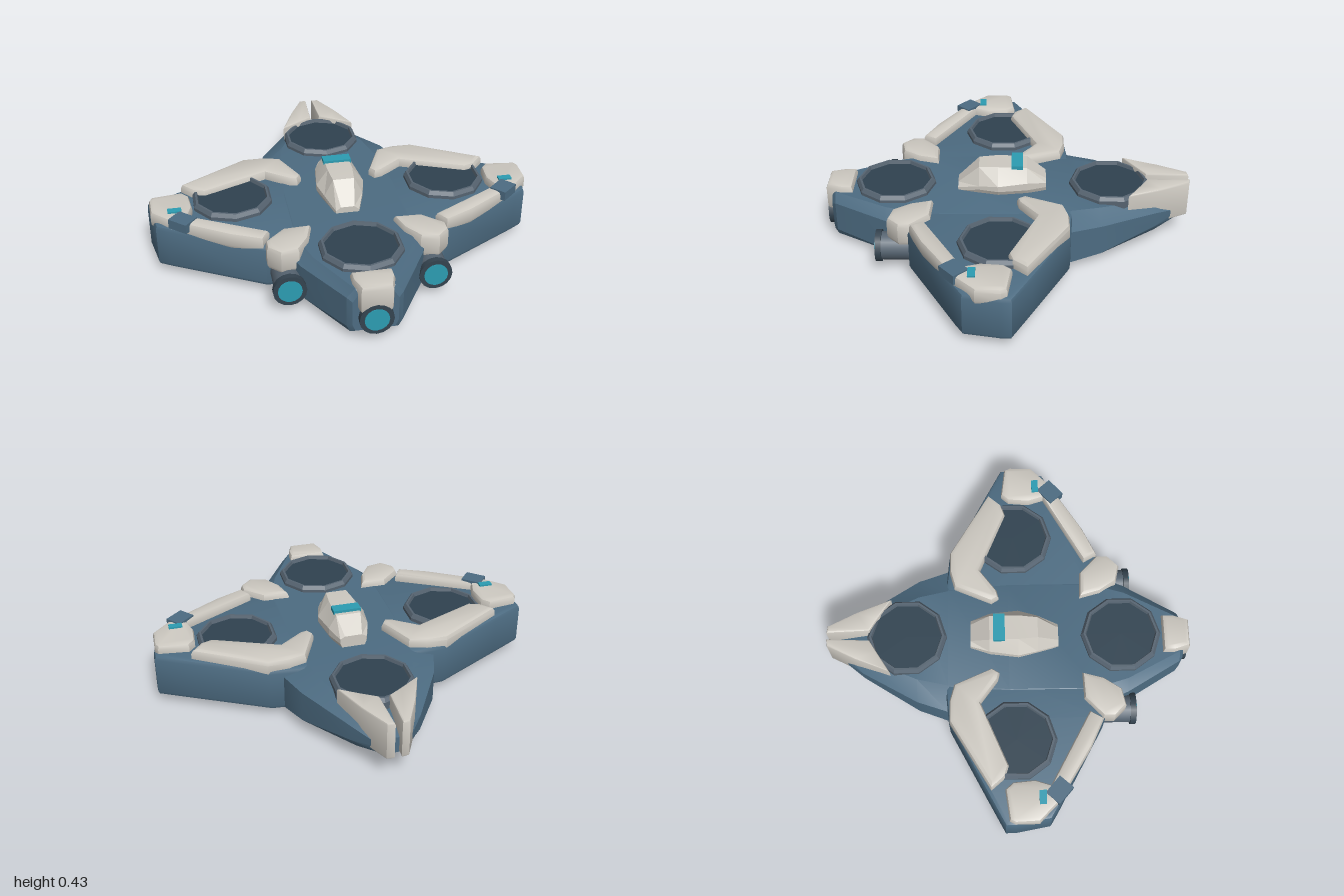
import * as THREE from 'three';
import { toCreasedNormals } from 'three/addons/utils/BufferGeometryUtils.js';

const mat = (color) => new THREE.MeshStandardMaterial({ color });
const BLUE = mat(0x4d6c82), DARK = mat(0x2f4250), GREY = mat(0x566471);
const WHITE = mat(0xcdc9c1), CYAN = mat(0x2c9cb2), POD = mat(0x34434f);

export function createModel() {
  const model = new THREE.Group();

  const add = (name, geometry, material, x = 0, y = 0, z = 0) => {
    const mesh = new THREE.Mesh(geometry, material);
    mesh.name = name;
    mesh.position.set(x, y, z);
    model.add(mesh);
    return mesh;
  };

  // Bevelled plate: outline of [x, z] points, from height y0 to y1
  const plate = (pts, y0, y1, bevel) => {
    const shape = new THREE.Shape(pts.map(([x, z]) => new THREE.Vector2(x, -z)));
    const g = new THREE.ExtrudeGeometry(shape, {
      depth: y1 - y0 - 2 * bevel, bevelSize: bevel, bevelThickness: bevel,
      bevelOffset: -bevel, bevelSegments: 2,
    });
    g.rotateX(-Math.PI / 2).translate(0, y0 + bevel, 0);
    return toCreasedNormals(g, 0.6);
  };
  const side = (pts, s) => pts.map(([x, z]) => [x * s, z]);

  // Eight-sided cross-section, counter-clockwise seen from +z
  const section = (z, wTop, w, wBottom, yTop, yHigh, yLow, yBottom) => [
    [wBottom, yBottom, z], [w, yLow, z], [w, yHigh, z], [wTop, yTop, z],
    [-wTop, yTop, z], [-w, yHigh, z], [-w, yLow, z], [-wBottom, yBottom, z],
  ];

  // Skin over cross-sections running from +z to -z, with end caps
  const loft = (rows, crease) => {
    const n = rows[0].length, idx = [], last = (rows.length - 1) * n;
    for (let i = 0; i < rows.length - 1; i++) {
      for (let j = 0; j < n; j++) {
        const a = i * n + j, b = i * n + (j + 1) % n;
        idx.push(a, a + n, b, b, a + n, b + n);
      }
    }
    for (let j = 1; j < n - 1; j++) {
      idx.push(0, j, j + 1, last, last + j + 1, last + j);
    }
    const g = new THREE.BufferGeometry();
    g.setAttribute('position', new THREE.Float32BufferAttribute(rows.flat(2), 3));
    g.setIndex(idx);
    return toCreasedNormals(g, crease);
  };

  // Central hull: z, half width, bottom, top, top edge inset
  const hull = [
    [0.92, 0.11, 0.05, 0.26, 0.03], [0.9, 0.135, 0.035, 0.277, 0.04],
    [0.62, 0.3, 0.02, 0.277, 0.06], [0.45, 0.37, 0.012, 0.277, 0.08],
    [0.0, 0.42, 0.0, 0.277, 0.13], [-0.32, 0.395, 0.015, 0.277, 0.13],
    [-0.48, 0.34, 0.035, 0.277, 0.11], [-0.77, 0.17, 0.09, 0.25, 0.07],
    [-0.91, 0.06, 0.125, 0.21, 0.03],
  ].map(([z, w, yb, yt, inset]) =>
    section(z, w - inset, w, w * 0.86, yt, yt - 0.045, yb + 0.035, yb));
  add('hull', loft(hull, 0.35), BLUE);

  // Cockpit canopy and its light strip
  add('cockpit', loft([
    section(0.26, 0.035, 0.06, 0.05, 0.31, 0.29, 0.27, 0.25),
    section(0.15, 0.055, 0.1, 0.08, 0.41, 0.32, 0.3, 0.25),
    section(0.05, 0.065, 0.125, 0.1, 0.415, 0.33, 0.3, 0.25),
    section(-0.1, 0.065, 0.105, 0.08, 0.41, 0.34, 0.3, 0.25),
    section(-0.2, 0.045, 0.07, 0.05, 0.34, 0.325, 0.3, 0.25),
  ], 0.15), WHITE);
  add('cockpitLight', new THREE.BoxGeometry(0.145, 0.02, 0.06), CYAN, 0, 0.415, -0.05);

  // Four ten-sided rotor wells
  const rim = new THREE.LatheGeometry([
    [0.21, 0.2], [0.21, 0.293], [0.197, 0.312], [0.186, 0.312], [0.178, 0.285],
  ].map(([r, y]) => new THREE.Vector2(r, y)), 10);
  const rimGeo = toCreasedNormals(rim, 0.2);
  for (const [x, z] of [[0, 0.59], [0, -0.535], [0.565, 0.03], [-0.565, 0.03]]) {
    add('rotorRim', rimGeo, GREY, x, 0, z);
    add('rotorDisc', new THREE.CylinderGeometry(0.184, 0.184, 0.08, 10), DARK, x, 0.255, z);
  }

  // Round thruster facing forward, its face at zFront
  const thruster = (x, zFront, length) => {
    const tube = (name, r, len, z, m) => add(name,
      new THREE.CylinderGeometry(r, r, len, 16).rotateX(Math.PI / 2), m, x, 0.125, z - len / 2);
    tube('thrusterBody', 0.073, length, zFront - 0.02, GREY);
    tube('thrusterRim', 0.083, 0.03, zFront - 0.004, POD);
    tube('thrusterLight', 0.06, 0.02, zFront, CYAN);
  };
  thruster(0, 0.955, 0.12);

  // Nose armour
  add('noseArmor', plate([[-0.1, 0.81], [-0.1, 0.87], [-0.075, 0.95],
    [0.075, 0.95], [0.1, 0.87], [0.1, 0.81]], 0.16, 0.315, 0.025), WHITE);

  const wing = [[0.1, -0.3], [0.25, -0.335], [0.46, -0.315], [0.82, -0.125], [0.998, -0.03],
    [0.998, 0.02], [0.965, 0.2], [0.9, 0.24], [0.45, 0.49], [0.1, 0.49]];
  const rearStrip = [[0.47, -0.31], [0.36, -0.31], [0.27, -0.285], [0.185, -0.09],
    [0.21, -0.05], [0.25, -0.06], [0.37, -0.15], [0.7, -0.01], [0.76, -0.03], [0.82, -0.1]];
  const tipStrip = [[0.975, -0.01], [0.82, -0.03], [0.785, 0.01], [0.775, 0.12], [0.8, 0.2],
    [0.42, 0.41], [0.46, 0.48], [0.61, 0.41], [0.89, 0.235], [0.985, 0.14], [0.99, 0.02]];
  const shoulder = [[0.35, 0.385], [0.21, 0.38], [0.24, 0.49], [0.3, 0.58], [0.39, 0.6],
    [0.45, 0.54], [0.45, 0.48]];
  const tailFin = [[0.017, -0.955], [0.055, -0.95], [0.13, -0.8], [0.2, -0.62],
    [0.09, -0.69], [0.025, -0.73]];

  // Mirrored wings, armour, thrusters and tail fins
  for (const s of [1, -1]) {
    const name = s > 0 ? 'left' : 'right';
    add(name + 'Wing', plate(side(wing, s), 0.04, 0.275, 0.022), BLUE);
    add(name + 'RearArmor', plate(side(rearStrip, s), 0.23, 0.327, 0.025), WHITE);
    add(name + 'TipArmor', plate(side(tipStrip, s), 0.23, 0.322, 0.022), WHITE);
    add(name + 'ShoulderArmor', plate(side(shoulder, s), 0.18, 0.313, 0.025), WHITE);
    add(name + 'TailFin', plate(side(tailFin, s), 0.125, 0.328, 0.01), WHITE);
    const block = add(name + 'SensorBlock',
      new THREE.BoxGeometry(0.11, 0.05, 0.09), BLUE, 0.83 * s, 0.304, 0.24);
    block.rotation.y = 0.72 * s;
    add(name + 'TipLight', new THREE.BoxGeometry(0.07, 0.02, 0.036), CYAN, 0.865 * s, 0.321, 0.157);
    thruster(0.36 * s, 0.667, 0.25);
  }
  return model;
}
